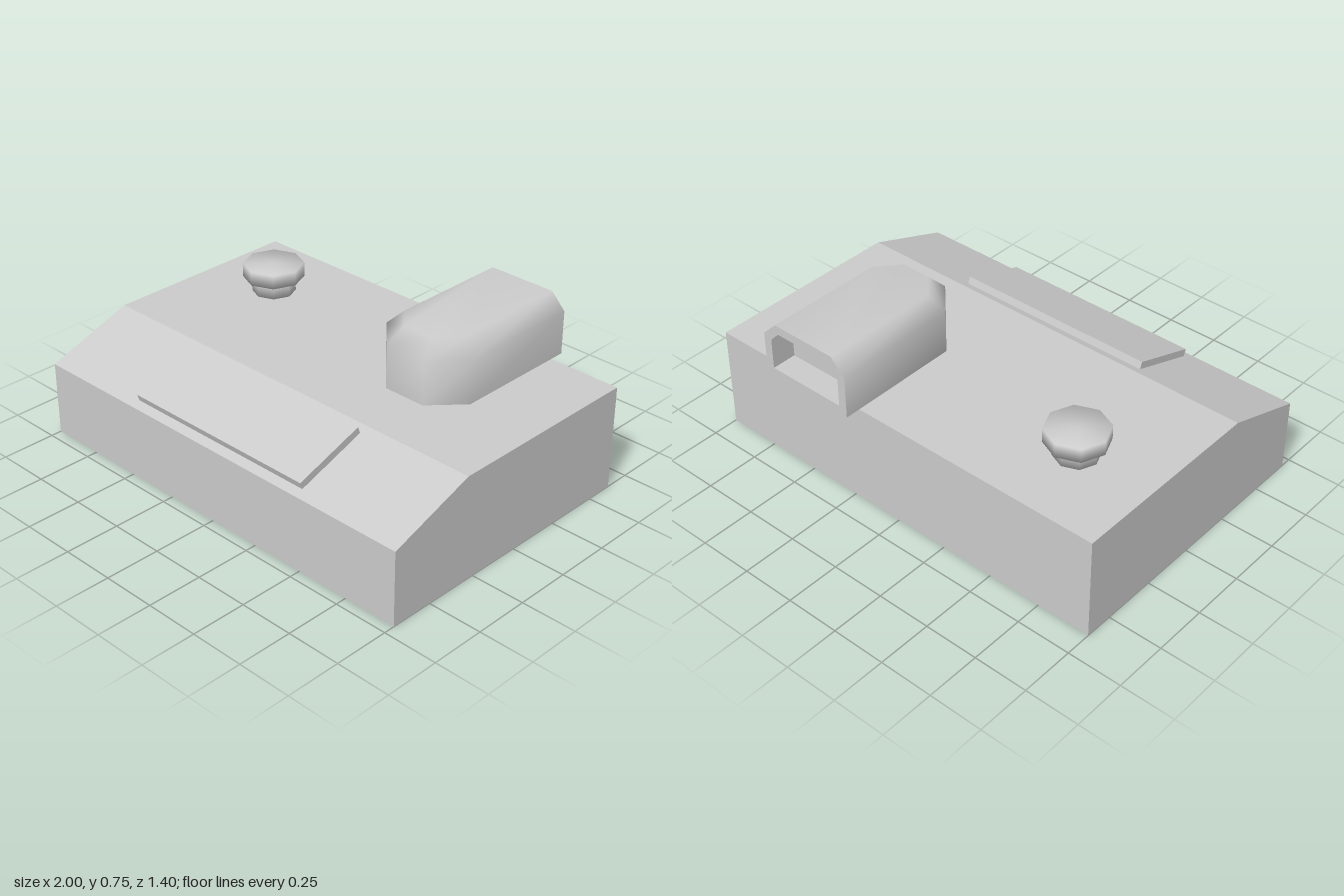
import * as THREE from 'three';
import { mergeVertices } from 'three/addons/utils/BufferGeometryUtils.js';

const material = new THREE.MeshStandardMaterial({ color: 0xcccccc });

function addPart(parent, name, geometry, x = 0, y = 0, z = 0) {
  const mesh = new THREE.Mesh(geometry, material);
  mesh.name = name;
  mesh.position.set(x, y, z);
  parent.add(mesh);
  return mesh;
}

const shapeOf = (points) => new THREE.Shape(points.map(([x, y]) => new THREE.Vector2(x, y)));

function indexed(points, index) {
  const geometry = new THREE.BufferGeometry();
  geometry.setAttribute('position', new THREE.Float32BufferAttribute(points.flat(), 3));
  geometry.setIndex(index);
  geometry.computeVertexNormals();
  return geometry;
}

// Eight-sided disc with normals blended over its edges
function softDisc(radius, height) {
  const geometry = new THREE.CylinderGeometry(radius, radius, height, 8);
  geometry.deleteAttribute('normal');
  geometry.deleteAttribute('uv');
  const merged = mergeVertices(geometry);
  merged.computeVertexNormals();
  return merged;
}

// Chamfered arch outline for the rear of the hood, inset by d
function archPoints(d) {
  const w = 0.23 - d, k = d * 0.414;
  return [[-w, d], [w, d], [w, 0.2 - k], [0.16 - k, 0.27 - d], [-0.16 + k, 0.27 - d], [-w, 0.2 - k]];
}

function createHood() {
  const hood = new THREE.Group();
  hood.name = 'hood';
  const back = -0.7, depth = 0.115;

  // Plan outline at a given height, open at the back
  const ring = (y, d) => {
    const k = d * 0.414;
    const half = [[-0.23 + d, y, back], [-0.23 + d, y, -0.11 - k], [-0.1 + k, y, 0.03 - d]];
    return [...half, ...half.map(([x, h, z]) => [-x, h, z]).reverse()];
  };
  const points = [...ring(0, 0), ...ring(0.2, 0), ...ring(0.27, 0.07)];
  const index = [];
  for (let level = 0; level < 2; level++) {
    for (let i = 0; i < 5; i++) {
      const a = level * 6 + i;
      index.push(a, a + 1, a + 7, a, a + 7, a + 6);
    }
  }
  for (let i = 1; i < 5; i++) index.push(12, 12 + i, 13 + i);
  addPart(hood, 'hoodShell', indexed(points, index));

  // Underside
  const under = [];
  for (let i = 1; i < 5; i++) under.push(0, i + 1, i);
  addPart(hood, 'hoodUnderside', indexed(ring(0, 0), under));

  // Rear rim around a shallow recess
  const opening = archPoints(0.04);
  const rim = shapeOf(archPoints(0));
  rim.holes.push(shapeOf(opening));
  addPart(hood, 'hoodRim', new THREE.ShapeGeometry(rim).rotateY(Math.PI), 0, 0, back);
  addPart(hood, 'recessEnd', new THREE.ShapeGeometry(shapeOf(opening)).rotateY(Math.PI), 0, 0, back + depth);

  const walls = [], wallIndex = [];
  opening.forEach(([x, y], i) => {
    const [u, v] = opening[(i + 1) % opening.length];
    const n = walls.length;
    walls.push([x, y, back], [x, y, back + depth], [u, v, back + depth], [u, v, back]);
    wallIndex.push(n, n + 1, n + 2, n, n + 2, n + 3);
  });
  addPart(hood, 'recessWalls', indexed(walls, wallIndex));
  return hood;
}

export function createModel() {
  const model = new THREE.Group();
  model.name = 'console';

  // Wedge-fronted base, side profile swept across the width
  const profile = shapeOf([[-0.63, 0], [0.7, 0], [0.7, 0.34], [0.3, 0.48], [-0.63, 0.48]]);
  const base = new THREE.ExtrudeGeometry(profile, { depth: 2, bevelEnabled: false });
  base.translate(0, 0, -1).rotateY(-Math.PI / 2);
  addPart(model, 'base', base);

  // Panel lying on the slope
  const panel = addPart(model, 'slopedPanel', new THREE.BoxGeometry(0.96, 0.035, 0.338), 0, 0.425, 0.505);
  panel.rotation.x = Math.atan2(0.14, 0.4);

  // Knob
  const knob = new THREE.Group();
  knob.name = 'knob';
  knob.position.set(-0.635, 0.48, -0.27);
  addPart(knob, 'knobStem', softDisc(0.098, 0.07), 0, 0.035, 0);
  addPart(knob, 'knobCap', softDisc(0.138, 0.065), 0, 0.1025, 0);
  model.add(knob);

  // Hood overhanging the back edge
  const hood = createHood();
  hood.position.set(0.43, 0.48, 0);
  model.add(hood);

  return model;
}
